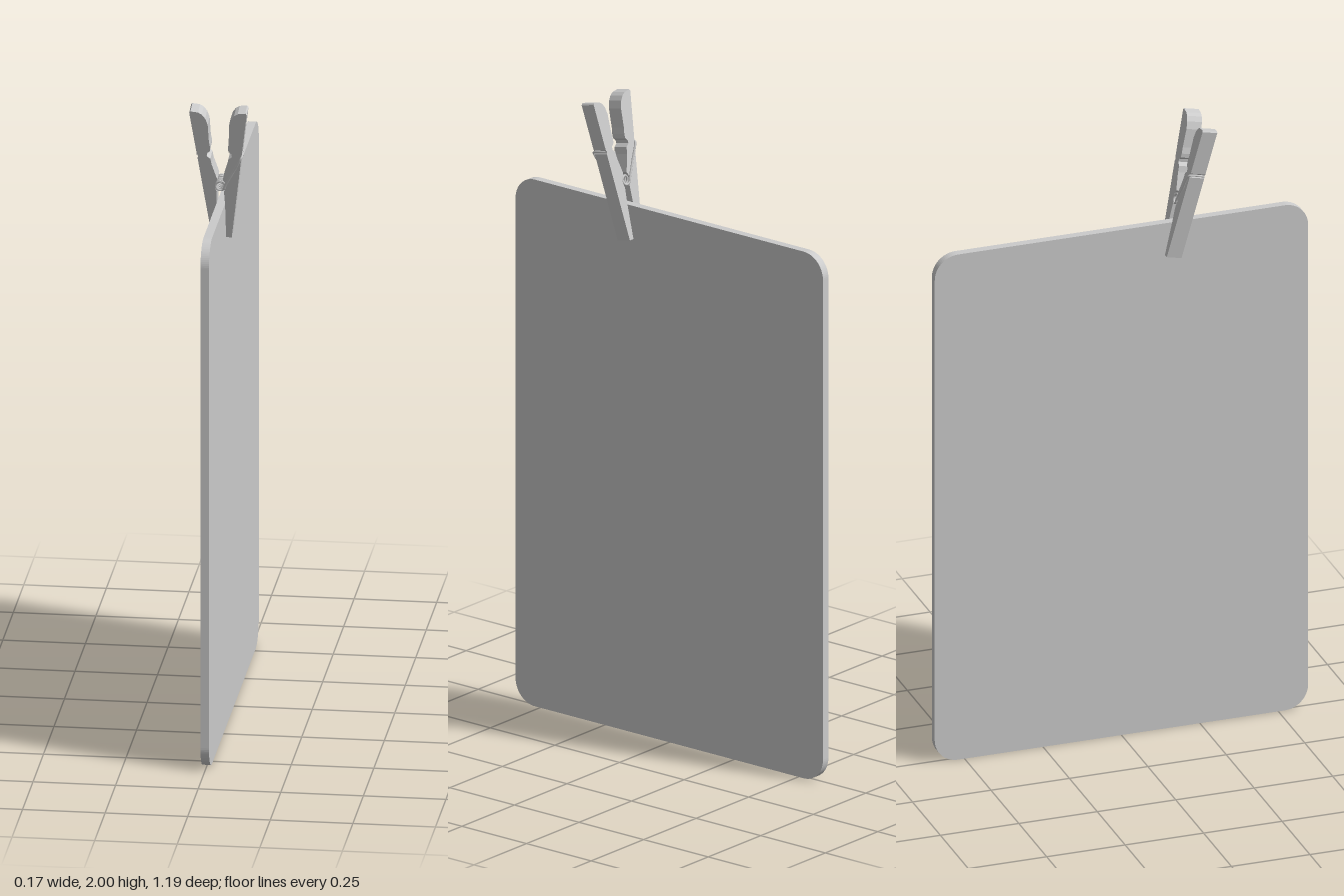
import * as THREE from 'three';

const material = new THREE.MeshStandardMaterial({ color: 0xcccccc });

function addMesh(parent, name, geometry) {
  const mesh = new THREE.Mesh(geometry, material);
  mesh.name = name;
  parent.add(mesh);
  return mesh;
}

// Flat panel standing in the YZ plane, with rounded corners
function boardGeometry(width, height, radius, thickness) {
  const w = width / 2, s = new THREE.Shape();
  s.absarc(w - radius, radius, radius, -Math.PI / 2, 0);
  s.absarc(w - radius, height - radius, radius, 0, Math.PI / 2);
  s.absarc(radius - w, height - radius, radius, Math.PI / 2, Math.PI);
  s.absarc(radius - w, radius, radius, Math.PI, Math.PI * 1.5);
  s.closePath();
  return new THREE.ExtrudeGeometry(s, { depth: thickness, bevelEnabled: false, curveSegments: 10 })
    .translate(0, 0, -thickness / 2)
    .rotateY(Math.PI / 2);
}

// One lever of the clothes peg; side = 1 or -1 mirrors the profile
function leverGeometry(side, width) {
  const profile = [
    [0.013, 0], [0.03, 0], [0.066, 0.277], [0.063, 0.282], [0.068, 0.291], [0.087, 0.435],
    [0.083, 0.44], [0.06, 0.437], [0.049, 0.43], [0.039, 0.416], [0.032, 0.394],
    [0.03, 0.335], [0.027, 0.315], [0.028, 0.302], [0.037, 0.294], [0.038, 0.284],
    [0.027, 0.275], [0.024, 0.255], [0.008, 0.202], [0.014, 0.193], [0.017, 0.18],
    [0.014, 0.167], [0.011, 0.16], [0.013, 0.11],
  ].map(([x, y]) => new THREE.Vector2(x * side, y));
  return new THREE.ExtrudeGeometry(new THREE.Shape(profile), { depth: width, bevelEnabled: false })
    .translate(0, 0, -width / 2);
}

// Wire spring: hooked arm, coil, then the opposite hooked arm
function springGeometry(halfWidth) {
  const y = 0.18, radius = 0.014, turns = 5.5, steps = 66;
  const arm = (side) => [
    [0.066, 0.284, -0.022], [0.068, 0.285, 0.02], [0.066, 0.282, halfWidth], [0.04, 0.23, halfWidth],
  ].map(([x, v, z]) => new THREE.Vector3(x * side, v, z * side));
  const coil = [];
  for (let i = 0; i <= steps; i++) {
    const t = i / steps, a = -t * turns * Math.PI * 2;
    coil.push(new THREE.Vector3(Math.cos(a) * radius, y + Math.sin(a) * radius, halfWidth * (1 - 2 * t)));
  }
  const path = new THREE.CatmullRomCurve3([...arm(1), ...coil, ...arm(-1).reverse()]);
  return new THREE.TubeGeometry(path, 320, 0.0035, 6);
}

export function createModel() {
  const model = new THREE.Group();
  model.name = 'boardWithPeg';
  addMesh(model, 'board', boardGeometry(1.19, 1.675, 0.075, 0.026));

  // Peg clipped at a slant on the top edge
  const peg = new THREE.Group();
  peg.name = 'clothesPeg';
  peg.position.set(0, 1.565, 0.162);
  peg.rotation.x = 0.217;
  addMesh(peg, 'leftLever', leverGeometry(1, 0.048));
  addMesh(peg, 'rightLever', leverGeometry(-1, 0.048));
  addMesh(peg, 'spring', springGeometry(0.027));
  model.add(peg);
  return model;
}
